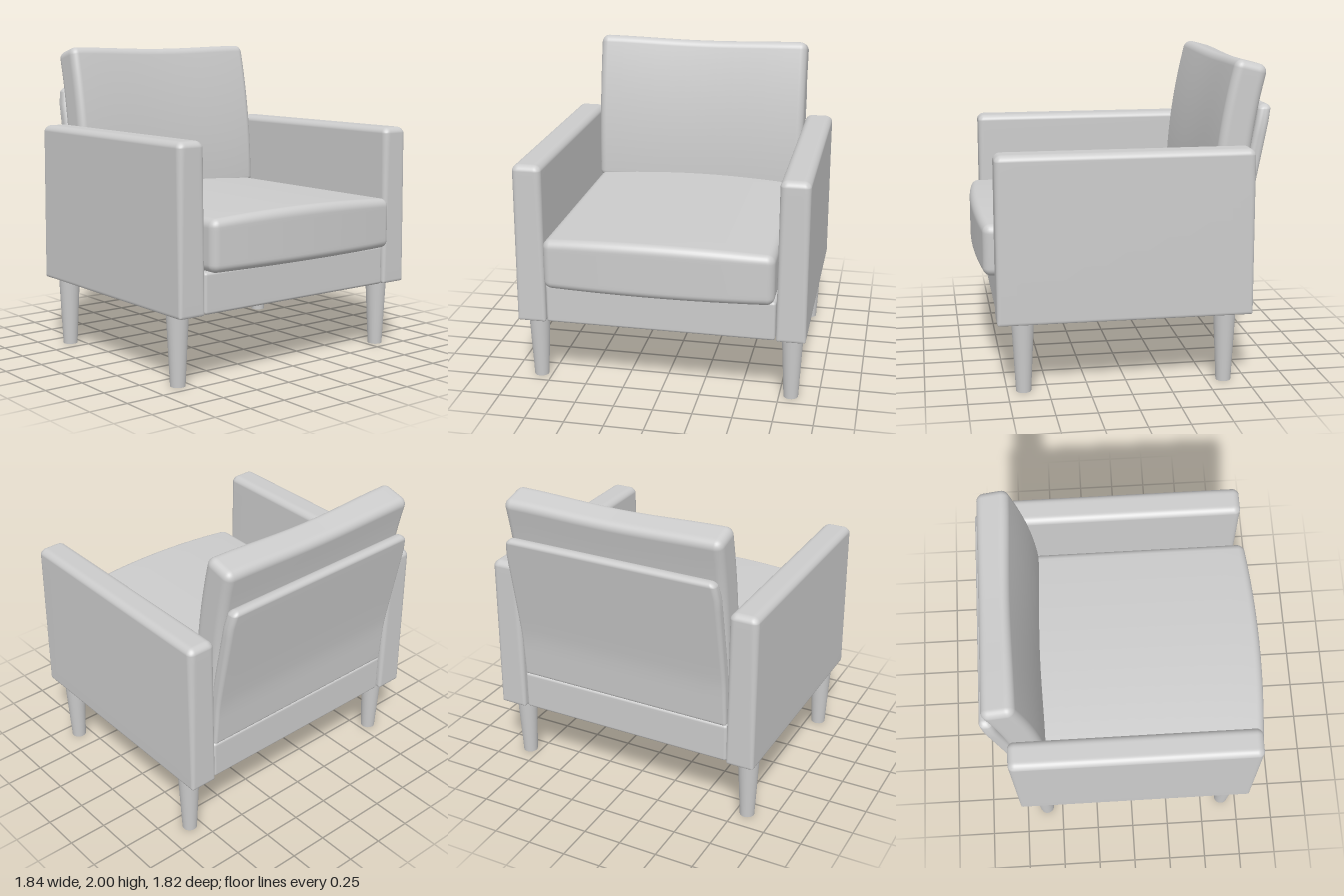
import * as THREE from 'three';
import { mergeVertices } from 'three/addons/utils/BufferGeometryUtils.js';

const material = new THREE.MeshStandardMaterial({ color: 0xcccccc });
const SEG = 20, CORNER = 4; // grid per face, and rows spent on each rounded edge

// Grid index to coordinate: dense in the rounded edges, even across the flat middle.
function spread(v, half, r) {
  const i = Math.round((v + 1) / 2 * SEG);
  const m = Math.min(i, SEG - i);
  if (m <= CORNER) {
    const inset = r * (1 - Math.tan(Math.PI / 4 * (CORNER - m) / CORNER));
    return Math.sign(v) * (half - inset);
  }
  return (half - r) * (2 * (i - CORNER) / (SEG - 2 * CORNER) - 1);
}

// Box with rounded edges (radius may change from bottom to top), then bent by a rule.
function softBox(w, h, d, rTop, rBottom = rTop, warp = null) {
  let geo = new THREE.BoxGeometry(2, 2, 2, SEG, SEG, SEG);
  geo.deleteAttribute('uv');
  geo.deleteAttribute('normal');
  const pos = geo.attributes.position;
  const half = new THREE.Vector3(w / 2, h / 2, d / 2);
  const p = new THREE.Vector3(), core = new THREE.Vector3(), limit = new THREE.Vector3();
  for (let i = 0; i < pos.count; i++) {
    p.fromBufferAttribute(pos, i);
    const r = THREE.MathUtils.lerp(rBottom, rTop, (p.y + 1) / 2);
    p.set(spread(p.x, half.x, r), spread(p.y, half.y, r), spread(p.z, half.z, r));
    limit.copy(half).subScalar(r);
    core.copy(p).clamp(limit.clone().negate(), limit);
    p.sub(core).setLength(r).add(core);
    if (warp) warp(p);
    pos.setXYZ(i, p.x, p.y, p.z);
  }
  geo = mergeVertices(geo, 1e-5);
  geo.computeVertexNormals();
  return geo;
}

export function createModel() {
  const group = new THREE.Group();
  const add = (name, geo, x, y, z) => {
    const mesh = new THREE.Mesh(geo, material);
    mesh.name = name;
    mesh.position.set(x, y, z);
    group.add(mesh);
  };

  // Arms and legs, mirrored left and right
  const arm = softBox(0.185, 1.035, 1.58, 0.045, 0.015);
  const leg = new THREE.CylinderGeometry(0.07, 0.047, 0.46, 24);
  for (const [side, s] of [['left', 1], ['right', -1]]) {
    add(side + 'Arm', arm, s * 0.8275, 0.9625, 0.02);
    add(side + 'FrontLeg', leg, s * 0.825, 0.23, 0.65);
    add(side + 'BackLeg', leg, s * 0.825, 0.23, -0.61);
  }

  // Base frame under the seat
  add('baseFrame', softBox(1.46, 0.255, 1.55, 0.018), 0, 0.5725, 0.025);

  // Seat cushion: crowned top and bulging front
  const seat = softBox(1.45, 0.32, 1.53, 0.05, 0.05, p => {
    const crown = 1 - (p.x / 0.725) ** 2;
    if (p.y > 0) p.y += 0.03 * crown * p.y / 0.16;
    if (p.z > 0) p.z += 0.04 * crown * p.z / 0.765;
  });
  add('seatCushion', seat, 0, 0.86, 0.105);

  // Back cushion: leans further back towards the top, with a slight hollow
  const H = 0.995;
  const back = softBox(1.46, H, 0.21, 0.05, 0.05, p => {
    const t = p.y / H + 0.5;
    const angle = Math.atan(0.26 * t);
    const hollow = Math.cos(Math.PI / 2 * p.x / 0.73) ** 2;
    const depth = p.z - (p.z > 0 ? 0.015 * hollow * p.z / 0.105 : 0);
    p.y = 0.985 + t * H + depth * Math.sin(angle) - 0.014 * hollow * t;
    p.z = -0.657 - 0.13 * t * t + depth * Math.cos(angle);
  });
  add('backCushion', back, 0, 0, 0);

  // Back panel: upright at the foot, leaning above, rounded upper corners
  const panel = softBox(1.45, 1.02, 0.08, 0.035, 0.015, p => {
    const y = p.y + 1.21;
    const lean = Math.max(0, y - 0.95);
    const top = Math.max(0, (y - 1.6) / 0.12);
    p.x *= 1 - 0.035 * top * top;
    p.z -= 0.715 + 0.02 * Math.min(1, (y - 0.7) / 0.25) + 0.195 * lean * lean / (lean + 0.04);
    p.y = y;
  });
  add('backPanel', panel, 0, 0, 0);

  return group;
}
